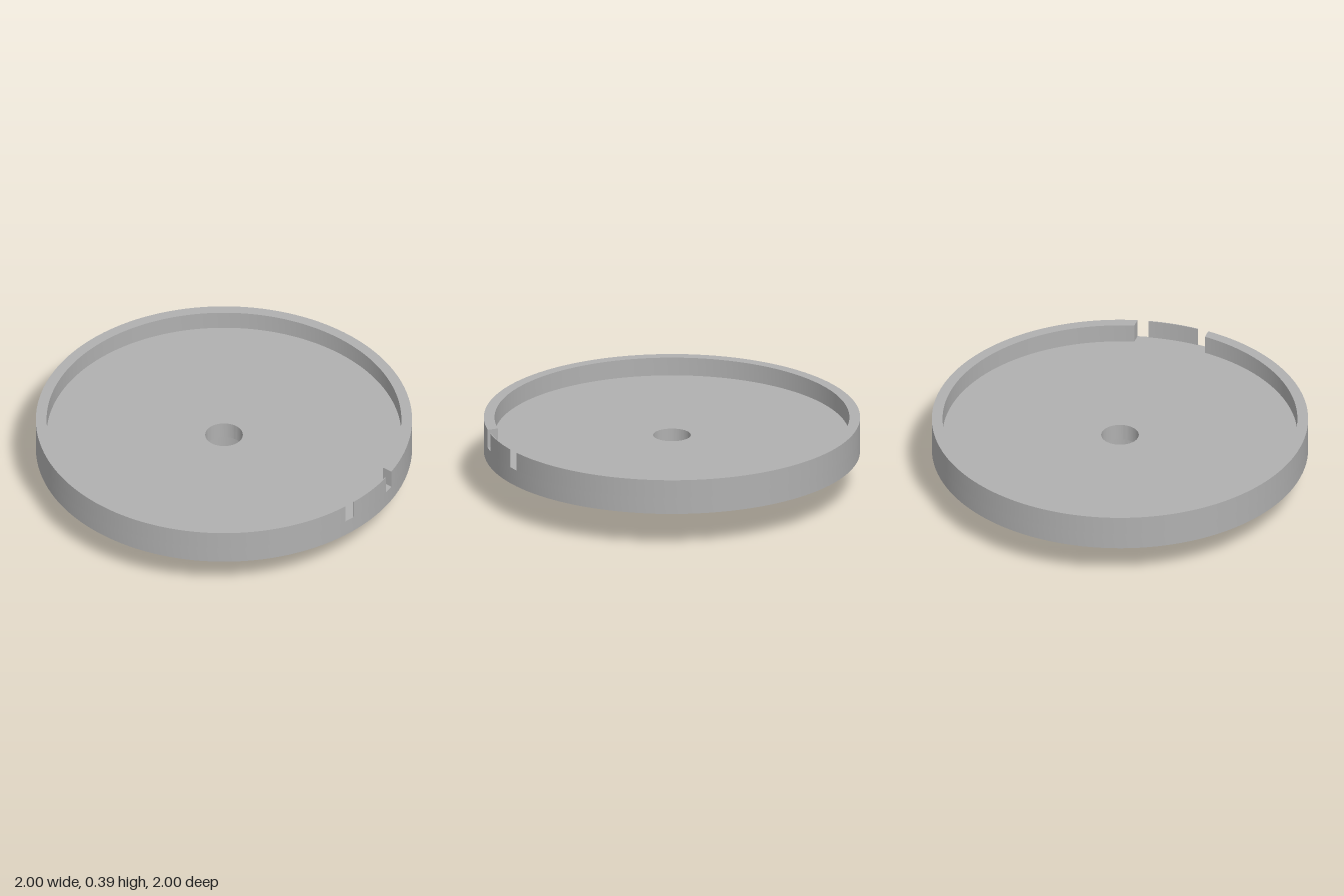
import * as THREE from 'three';
import { toCreasedNormals } from 'three/addons/utils/BufferGeometryUtils.js';

const FLOOR = 0.29, TOP = 0.39, OUTER = 1, INNER = 0.943;

// Upright wall following the disc edge; its ends are cut at x = xStart and x = xEnd.
function arcWall(xStart, xEnd, turns, inner, segments) {
  const shape = new THREE.Shape();
  const end = turns * Math.PI * 2;
  shape.absarc(0, 0, OUTER, Math.acos(xStart / OUTER), Math.acos(xEnd / OUTER) + end, false);
  shape.absarc(0, 0, inner, Math.acos(xEnd / inner) + end, Math.acos(xStart / inner), true);
  shape.closePath();
  const geometry = new THREE.ExtrudeGeometry(shape, {
    depth: TOP - FLOOR, bevelEnabled: false, curveSegments: segments,
  });
  geometry.rotateX(Math.PI / 2).translate(0, TOP, 0);
  return toCreasedNormals(geometry, 0.5);
}

export function createModel() {
  const group = new THREE.Group();
  const grey = new THREE.MeshStandardMaterial({ color: 0xb0b0b0 });
  grey.name = 'grey';

  const add = (name, geometry) => {
    const mesh = new THREE.Mesh(geometry, grey);
    mesh.name = name;
    group.add(mesh);
  };

  // Disc and hollow hub, with a narrower hole through the disc
  const profile = [
    [0.14, 0], [0.255, 0], [0.255, 0.2], [OUTER, 0.2], [OUTER, FLOOR],
    [0.1, FLOOR], [0.1, 0.2], [0.14, 0.2], [0.14, 0],
  ].map(([x, y]) => new THREE.Vector2(x, y));
  add('discAndHub', toCreasedNormals(new THREE.LatheGeometry(profile, 128), 0.5));

  // Raised rim, open at the front
  add('rim', arcWall(-0.198, 0.194, 1, INNER, 128));

  // Thin tab standing in the opening, with a slot on either side
  add('frontTab', arcWall(0.134, -0.139, 0, 0.995, 12));

  return group;
}
